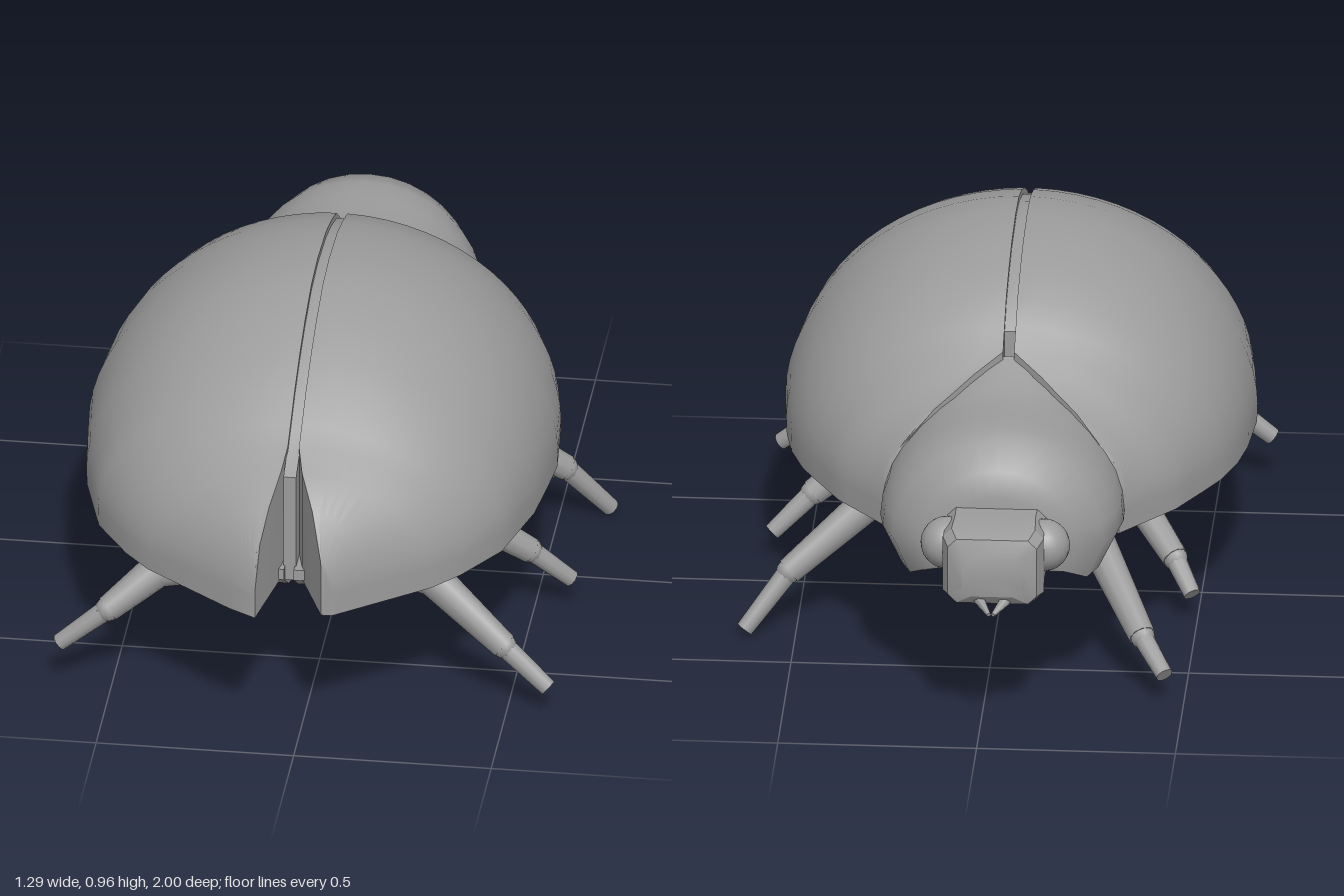
import * as THREE from 'three';
import { toCreasedNormals } from 'three/addons/utils/BufferGeometryUtils.js';

const material = new THREE.MeshStandardMaterial({ color: 0x9c9c9c });
const V = (x, y, z) => new THREE.Vector3(x, y, z);

function add(parent, name, geometry) {
  const mesh = new THREE.Mesh(geometry, material);
  mesh.name = name;
  parent.add(mesh);
  return mesh;
}

// Skin closed cross-sections (counter-clockwise seen from +z, ordered by rising z)
function loft(sections, crease = 0.6) {
  const n = sections[0].length, pos = [], index = [];
  sections.forEach(s => s.forEach(p => pos.push(p.x, p.y, p.z)));
  for (let i = 0; i < sections.length - 1; i++) {
    for (let j = 0; j < n; j++) {
      const a = i * n + j, b = i * n + (j + 1) % n;
      index.push(a, b, b + n, a, b + n, a + n);
    }
  }
  [0, sections.length - 1].forEach((row, end) => {
    const c = sections[row].reduce((sum, p) => sum.add(p), V(0, 0, 0)).divideScalar(n);
    const centre = pos.length / 3;
    pos.push(c.x, c.y, c.z);
    for (let j = 0; j < n; j++) {
      const a = row * n + j, b = row * n + (j + 1) % n;
      if (end) index.push(centre, a, b); else index.push(centre, b, a);
    }
  });
  const g = new THREE.BufferGeometry();
  g.setAttribute('position', new THREE.Float32BufferAttribute(pos, 3));
  g.setIndex(index);
  return toCreasedNormals(g, crease);
}

// Piecewise linear lookup in [z, value] pairs
function lookup(table, z) {
  let i = 1;
  while (i < table.length - 1 && table[i][0] < z) i++;
  const [z0, a] = table[i - 1], [z1, b] = table[i];
  return THREE.MathUtils.lerp(a, b, THREE.MathUtils.clamp((z - z0) / (z1 - z0), 0, 1));
}

// Wing case outline: half width, ridge height and inner edge along z
const WIDTH = [[-0.535, 0.292], [-0.385, 0.425], [-0.21, 0.525], [-0.07, 0.573], [0.13, 0.597],
  [0.385, 0.572], [0.6, 0.512], [0.777, 0.393], [0.96, 0.132], [0.995, 0.065]];
const RIDGE = [[-0.535, 0.7], [-0.42, 0.735], [-0.33, 0.79], [-0.2, 0.887], [-0.1, 0.92], [0, 0.944],
  [0.16, 0.957], [0.28, 0.948], [0.4, 0.914], [0.5, 0.874], [0.6, 0.822], [0.68, 0.768], [0.73, 0.735],
  [0.8, 0.7], [0.89, 0.65], [0.96, 0.59], [0.995, 0.52]];
const FRONT_EDGE = [[-0.535, 0.29], [-0.46, 0.18], [-0.33, 0.014]];
const STATIONS = [-0.535, -0.5, -0.46, -0.42, -0.385, -0.33, -0.27, -0.2, -0.1, 0, 0.16, 0.28, 0.4,
  0.5, 0.6, 0.68, 0.73, 0.8, 0.89, 0.96, 0.995];

// The two cases part at the tail: tipX and tipZ place the inner corner
function wingCase(side, tipX, tipZ) {
  const innerEdge = [...FRONT_EDGE, [0.76, 0.014], [tipZ, tipX]];
  return loft([...STATIONS.filter(z => z < tipZ), tipZ].map(z => {
    const w = lookup(WIDTH, z), h = lookup(RIDGE, z), inner = lookup(innerEdge, z);
    const rim = 0.383 + 0.03 * w, base = 0.45, tMax = Math.acos(Math.min(1, inner / w));
    const loop = [V(side * w * 0.997, rim, z)];
    for (let j = 0; j <= 16; j++) {
      const t = tMax * j / 16;
      loop.push(V(side * w * Math.cos(t), base + (h - base) * Math.sin(t) ** 1.08, z));
    }
    loop.push(V(side * inner, rim, z));
    return side > 0 ? loop : loop.reverse();
  }), 0.5);
}

// One half of the belly, split along the middle
function bellyHalf(side) {
  const rows = [[-0.46, 0.2, 0.4], [-0.38, 0.28, 0.36], [-0.25, 0.36, 0.3], [0, 0.41, 0.28], [0.3, 0.42, 0.275],
    [0.58, 0.35, 0.285], [0.73, 0.22, 0.34], [0.82, 0.08, 0.4]];
  return loft(rows.map(([z, w, low]) => {
    const loop = [V(side * 0.012, 0.43, z)];
    for (let j = 0; j <= 10; j++) {
      const t = Math.PI / 2 * j / 10;
      loop.push(V(side * (0.012 + (w - 0.012) * Math.sin(t) ** 0.85), 0.43 - (0.43 - low) * Math.cos(t) ** 0.8, z));
    }
    return side > 0 ? loop : loop.reverse();
  }));
}

// Thin core that fills the bottom of the seam
function seamCore() {
  return loft(STATIONS.filter(z => z > -0.3 && z < 0.85).map(z => {
    const top = lookup(RIDGE, z) - 0.015, low = z > 0.6 ? 0.39 : 0.29;
    return [V(0.016, low, z), V(0.016, top, z), V(-0.016, top, z), V(-0.016, low, z)];
  }));
}

// Domed neck shield, hollow underneath: [z, half width, top, bottom, hollow depth]
function neckShield() {
  const rows = [[-0.782, 0.13, 0.59, 0.42, 0], [-0.765, 0.2, 0.655, 0.385, 0], [-0.715, 0.265, 0.712, 0.35, 0.02],
    [-0.65, 0.295, 0.725, 0.35, 0.12], [-0.58, 0.306, 0.725, 0.35, 0.14], [-0.5, 0.304, 0.725, 0.35, 0.14],
    [-0.42, 0.29, 0.732, 0.35, 0.14], [-0.32, 0.2, 0.775, 0.37, 0.14]];
  return loft(rows.map(([z, w, top, low, hollow]) => {
    const loop = [V(w * 0.84, low, z)], base = low + (top - low) * 0.26;
    for (let j = 0; j <= 16; j++) {
      const t = Math.PI * j / 16;
      loop.push(V(w * Math.cos(t), base + (top - base) * Math.sin(t), z));
    }
    loop.push(V(-w * 0.84, low, z), V(-w * 0.75, low + hollow, z), V(w * 0.75, low + hollow, z));
    return loop;
  }), 0.7);
}

// Faceted head with chamfered corners: [z, half width, bottom, top]
function headBlock() {
  const rows = [[-0.968, 0.075, 0.4, 0.5], [-0.95, 0.112, 0.375, 0.548], [-0.91, 0.127, 0.37, 0.56],
    [-0.82, 0.123, 0.37, 0.56], [-0.74, 0.125, 0.37, 0.56]];
  return loft(rows.map(([z, w, low, top]) => {
    const c = 0.022;
    return [V(w, low + c, z), V(w, top - c, z), V(w - c, top, z), V(c - w, top, z),
      V(-w, top - c, z), V(-w, low + c, z), V(c - w, low, z), V(w - c, low, z)];
  }), 0.4);
}

// Tapered rod between two points
function limb(parent, name, a, b, ra, rb, sides = 10) {
  const mesh = add(parent, name, new THREE.CylinderGeometry(rb, ra, a.distanceTo(b), sides));
  mesh.position.copy(a).lerp(b, 0.5);
  mesh.quaternion.setFromUnitVectors(V(0, 1, 0), b.clone().sub(a).normalize());
}

// Leg with thigh, shin and blunt foot through four points
function leg(parent, name, points) {
  const group = new THREE.Group();
  group.name = name;
  parent.add(group);
  const [hip, knee, ankle, toe] = points.map(p => V(...p));
  limb(group, 'thigh', hip, knee, 0.042, 0.046);
  limb(group, 'shin', knee, ankle, 0.046, 0.034);
  limb(group, 'foot', ankle, toe, 0.027, 0.022);
  [[knee, 0.046], [ankle, 0.032]].forEach(([p, r]) =>
    add(group, 'joint', new THREE.SphereGeometry(r, 10, 8)).position.copy(p));
}

export function createModel() {
  const model = new THREE.Group();
  model.name = 'beetle';

  // Body, built around its own middle line
  const body = new THREE.Group();
  body.name = 'body';
  body.position.x = -0.036;
  model.add(body);
  add(body, 'seamCore', seamCore());
  add(body, 'neckShield', neckShield());
  add(body, 'head', headBlock());
  add(body, 'leftWingCase', wingCase(1, 0.1, 0.963));
  add(body, 'rightWingCase', wingCase(-1, 0.062, 0.995));
  for (const [side, label] of [[1, 'left'], [-1, 'right']]) {
    add(body, label + 'Belly', bellyHalf(side));
    const eye = add(body, label + 'Eye', new THREE.SphereGeometry(0.066, 20, 14));
    eye.position.set(side * 0.122, 0.487, -0.832);
    limb(body, label + 'Jaw', V(side * 0.035, 0.385, -0.945), V(side * 0.005, 0.365, -1), 0.016, 0.006, 6);
  }

  // Legs in a walking pose: hip, knee, ankle, toe
  leg(model, 'leftFrontLeg', [[0.08, 0.32, -0.14], [0.31, 0.32, -0.19], [0.52, 0.15, -0.28], [0.628, 0.012, -0.335]]);
  leg(model, 'leftMiddleLeg', [[0.08, 0.32, 0.26], [0.3, 0.31, 0.24], [0.49, 0.165, 0.175], [0.59, 0.07, 0.14]]);
  leg(model, 'leftRearLeg', [[0.02, 0.315, 0.5], [0.3, 0.315, 0.61], [0.49, 0.165, 0.67], [0.605, 0.07, 0.7]]);
  leg(model, 'rightFrontLeg', [[-0.1, 0.32, -0.2], [-0.26, 0.285, -0.35], [-0.39, 0.14, -0.6], [-0.452, 0.075, -0.69]]);
  leg(model, 'rightMiddleLeg', [[-0.1, 0.31, 0.2], [-0.29, 0.275, 0.1], [-0.44, 0.14, -0.11], [-0.488, 0.072, -0.18]]);
  leg(model, 'rightRearLeg', [[-0.06, 0.315, 0.55], [-0.39, 0.305, 0.64], [-0.51, 0.215, 0.7], [-0.632, 0.115, 0.71]]);
  return model;
}
